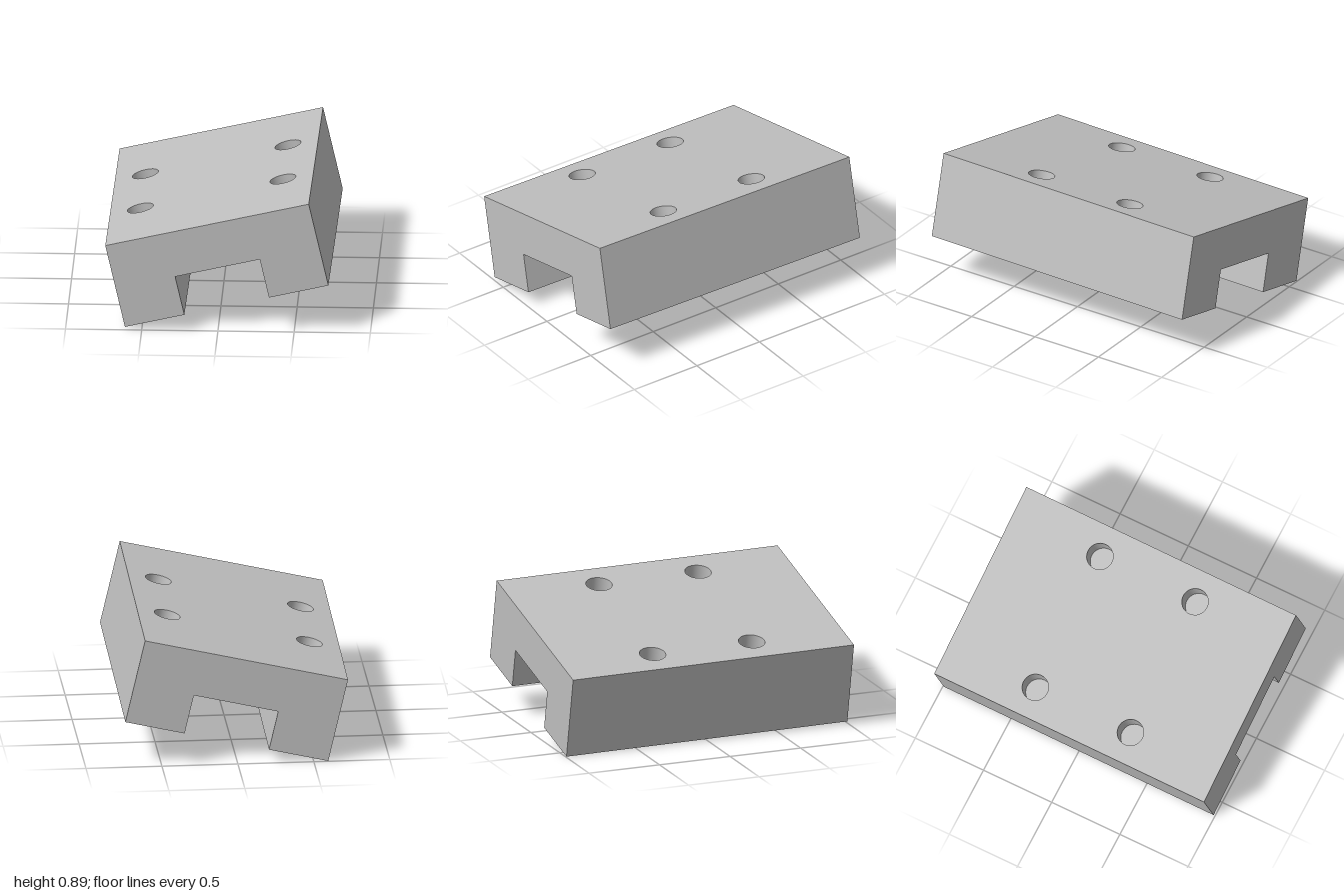
import * as THREE from 'three';
import { toCreasedNormals } from 'three/addons/utils/BufferGeometryUtils.js';

const WIDTH = 1.37, HEIGHT = 0.575, LENGTH = 1.985;
const GROOVE_WIDTH = 0.57, GROOVE_HEIGHT = 0.27;
const HOLE_RADIUS = 0.0875, HOLE_DEPTH = 0.215, HOLE_X = 0.48, HOLE_Z = 0.35;

export function createModel() {
  const metal = new THREE.MeshStandardMaterial({ color: 0xc0c0c0 });
  metal.name = 'light grey';

  const block = new THREE.Group();
  block.name = 'slottedBlock';
  const add = (name, geometry) => {
    const mesh = new THREE.Mesh(geometry, metal);
    mesh.name = name;
    block.add(mesh);
    return mesh;
  };

  const w = WIDTH / 2, h = HEIGHT / 2, g = GROOVE_WIDTH / 2;

  // Channel body: U-shaped section, with its top left open for the drilled face
  const section = new THREE.Shape([
    [-w, -h], [-g, -h], [-g, -h + GROOVE_HEIGHT], [g, -h + GROOVE_HEIGHT],
    [g, -h], [w, -h], [w, h], [-w, h],
  ].map(([x, y]) => new THREE.Vector2(x, y)));
  const solid = new THREE.ExtrudeGeometry(section, { depth: LENGTH, bevelEnabled: false });
  solid.translate(0, 0, -LENGTH / 2);
  const source = solid.attributes.position;
  const kept = [];
  for (let i = 0; i < source.count; i += 3) {
    const isTop = [0, 1, 2].every((k) => source.getY(i + k) > h - 1e-4);
    if (isTop) continue;
    for (let k = 0; k < 3; k++) kept.push(source.getX(i + k), source.getY(i + k), source.getZ(i + k));
  }
  const body = new THREE.BufferGeometry();
  body.setAttribute('position', new THREE.Float32BufferAttribute(kept, 3));
  body.computeVertexNormals();
  add('channelBody', body);

  // Top face with four round openings
  const l = LENGTH / 2;
  const face = new THREE.Shape([
    new THREE.Vector2(-w, -l), new THREE.Vector2(w, -l),
    new THREE.Vector2(w, l), new THREE.Vector2(-w, l),
  ]);
  // Blind hole lining: inward wall and flat floor
  const lining = toCreasedNormals(new THREE.LatheGeometry([
    new THREE.Vector2(HOLE_RADIUS, 0),
    new THREE.Vector2(HOLE_RADIUS, -HOLE_DEPTH),
    new THREE.Vector2(0, -HOLE_DEPTH),
  ], 32), 0.6);
  for (const sx of [-1, 1]) {
    for (const sz of [-1, 1]) {
      const opening = new THREE.Path();
      opening.absarc(sx * HOLE_X, -sz * HOLE_Z, HOLE_RADIUS, 0, Math.PI * 2, true);
      face.holes.push(opening);
      add('boltHole', lining).position.set(sx * HOLE_X, h, sz * HOLE_Z);
    }
  }
  const top = new THREE.ShapeGeometry(face, 16);
  top.rotateX(-Math.PI / 2);
  top.translate(0, h, 0);
  add('drilledTop', top);

  // Tilted resting pose
  const tilt = THREE.MathUtils.degToRad(13);
  const along = new THREE.Vector3(-0.0075, 0.009, 1).normalize();
  const across = new THREE.Vector3(Math.cos(tilt), Math.sin(tilt), 0.0053).normalize();
  const up = along.clone().cross(across).normalize();
  across.crossVectors(up, along);
  block.quaternion.setFromRotationMatrix(new THREE.Matrix4().makeBasis(across, up, along));
  block.position.y = 0.444;

  const model = new THREE.Group();
  model.name = 'model';
  model.add(block);
  return model;
}
